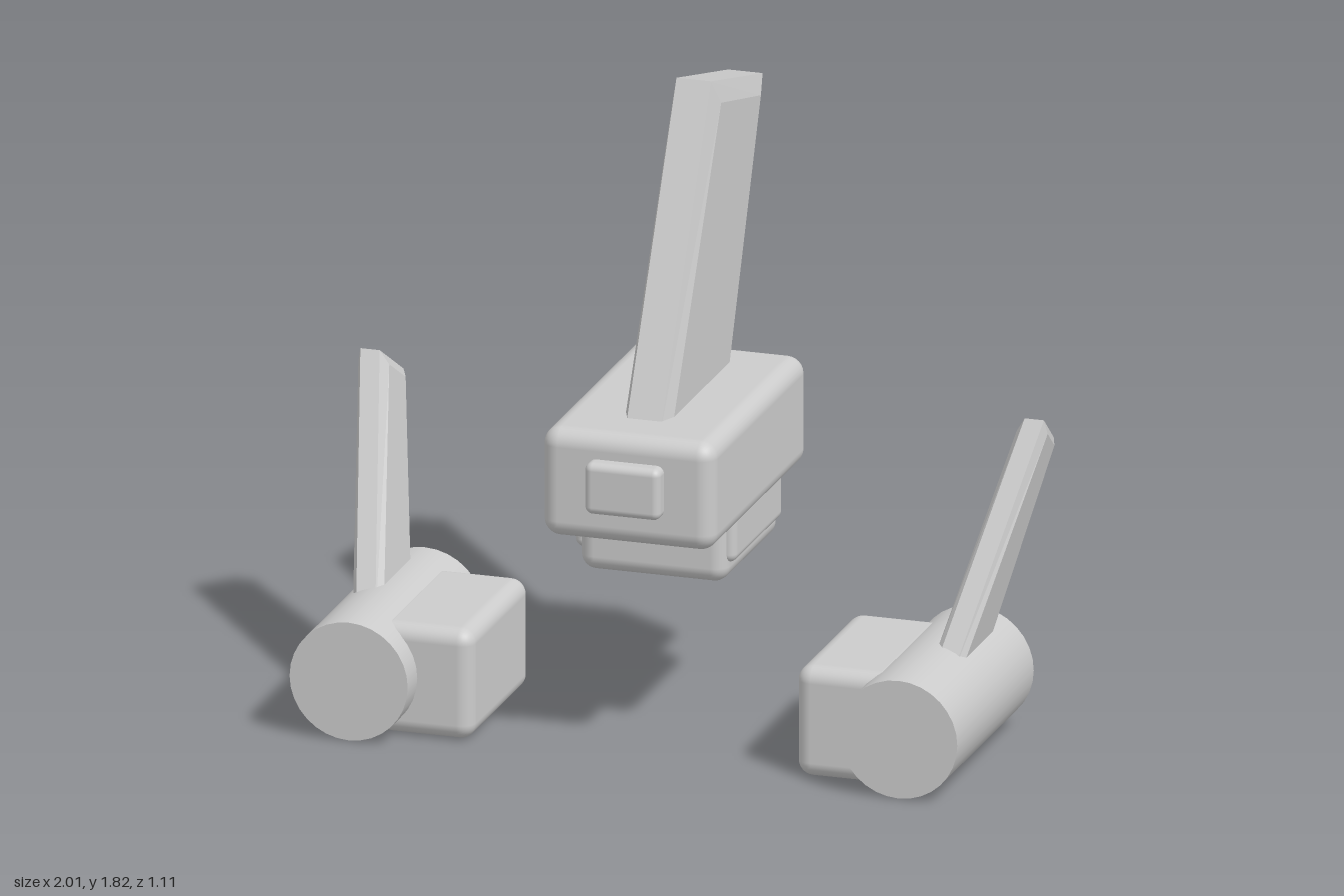
import * as THREE from 'three';
import { RoundedBoxGeometry } from 'three/addons/geometries/RoundedBoxGeometry.js';

const grey = new THREE.MeshStandardMaterial({ color: 0xcccccc });
grey.name = 'grey';

function add(parent, name, geometry) {
  const mesh = new THREE.Mesh(geometry, grey);
  mesh.name = name;
  parent.add(mesh);
  return mesh;
}

// Rounded box from its minimum and maximum corners
function roundedBox(min, max, radius) {
  const size = max.map((v, i) => v - min[i]);
  const mid = max.map((v, i) => (v + min[i]) / 2);
  return new RoundedBoxGeometry(...size, 4, radius).translate(...mid);
}

// Slab from a [z, y] outline with bevelled rims, centred on x = 0
function fin(outline, halfRim, halfFull, inset) {
  const shape = new THREE.Shape(outline.map(([z, y]) => new THREE.Vector2(-z, y)));
  return new THREE.ExtrudeGeometry(shape, {
    depth: halfRim * 2, bevelEnabled: true, bevelSegments: 1,
    bevelSize: inset, bevelOffset: -inset, bevelThickness: halfFull - halfRim,
  }).translate(0, 0, -halfRim).rotateY(Math.PI / 2);
}

export function createModel() {
  const model = new THREE.Group();
  model.name = 'model';

  // Central body with its nose block, underside and tall swept fin
  const centre = new THREE.Group();
  centre.name = 'centre';
  model.add(centre);
  add(centre, 'body', roundedBox([-0.252, 0.645, -0.34], [0.252, 0.962, 0.51], 0.05));
  add(centre, 'nose', roundedBox([-0.11, 0.74, 0.4], [0.11, 0.89, 0.555], 0.022));
  add(centre, 'underside', roundedBox([-0.215, 0.478, -0.2], [0.215, 0.75, 0.285], 0.045));
  for (const side of [-1, 1]) {
    add(centre, 'undersidePanel', roundedBox([-0.06, 0.535, -0.17], [0.06, 0.72, 0.26], 0.025))
      .position.x = side * 0.175;
  }
  add(centre, 'undersideRearPanel', roundedBox([-0.17, 0.535, -0.222], [0.17, 0.72, -0.1], 0.025));
  add(centre, 'tallFin', fin(
    [[0.385, 0.89], [-0.09, 1.815], [-0.55, 1.69], [-0.232, 0.89]], 0.05, 0.07, 0.06));

  // Side pods, each a drum with an inner block and an outward leaning fin
  for (const side of [-1, 1]) {
    const pod = new THREE.Group();
    pod.name = side > 0 ? 'leftPod' : 'rightPod';
    model.add(pod);

    add(pod, 'drum', new THREE.CylinderGeometry(0.172, 0.172, 0.68, 32)
      .rotateX(Math.PI / 2).translate(side * 0.8, 0.173, 0.195));
    add(pod, 'innerBlock', roundedBox([-0.142, 0, -0.07], [0.142, 0.322, 0.45], 0.045))
      .position.x = side * 0.612;

    const geometry = fin(
      [[0.283, 0.25], [-0.165, 0.9], [-0.315, 0.8], [-0.022, 0.25]], 0.028, 0.045, 0.03);
    const p = geometry.attributes.position;
    for (let i = 0; i < p.count; i++) {
      p.setX(i, p.getX(i) + side * (0.85 + (p.getY(i) - 0.33) * 0.205));
    }
    geometry.computeVertexNormals();
    add(pod, 'leaningFin', geometry);
  }
  return model;
}
